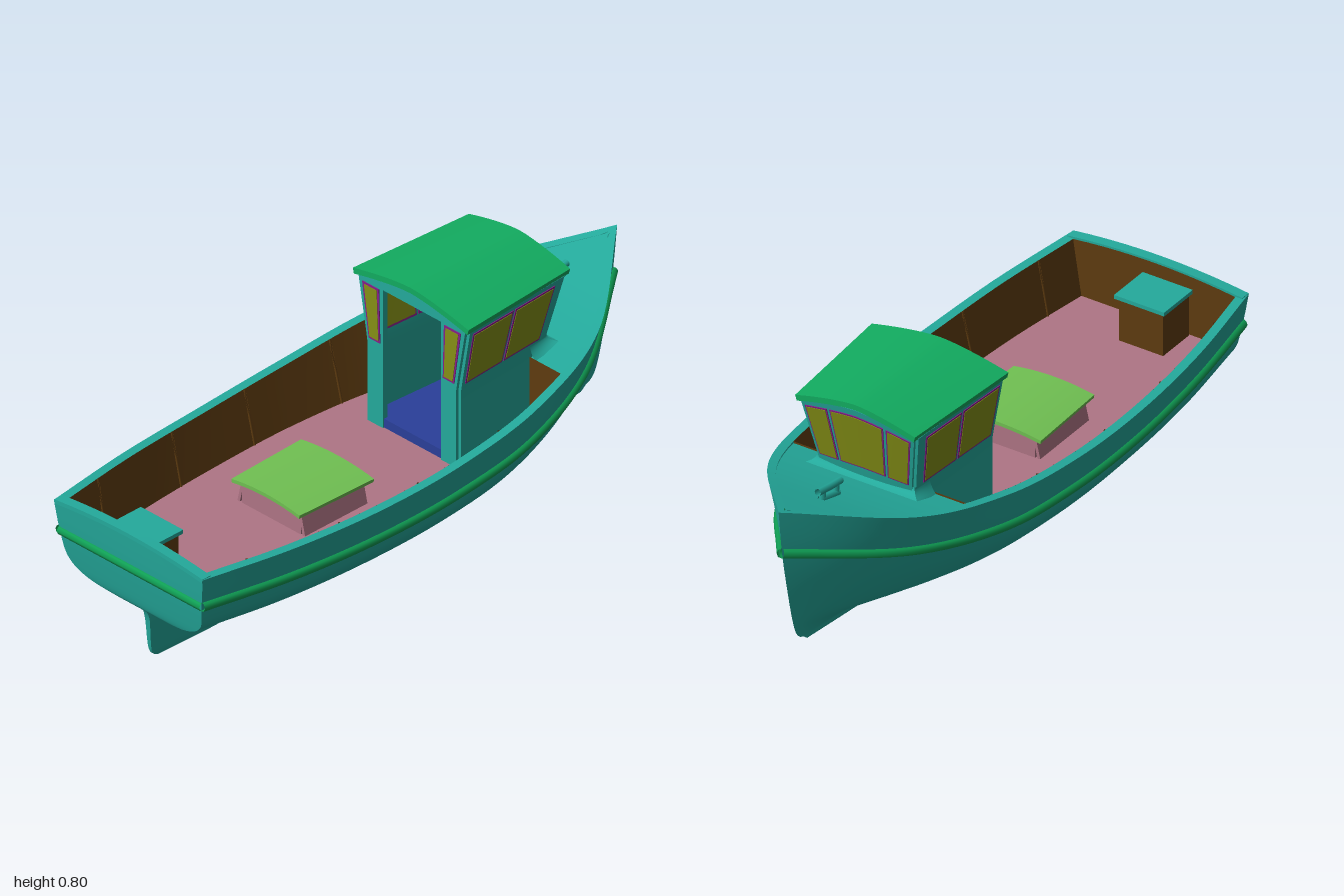
import * as THREE from 'three';
import { toCreasedNormals } from 'three/addons/utils/BufferGeometryUtils.js';

const V = (x, y, z) => new THREE.Vector3(x, y, z);
const { lerp } = THREE.MathUtils;
const mat = (color) => new THREE.MeshStandardMaterial({ color, side: THREE.DoubleSide });
const teal = mat(0x24aa9c), roofGreen = mat(0x12ac60), railGreen = mat(0x0fa055), olive = mat(0x859016);
const purple = mat(0x852088), brown = mat(0x5f3c10), pink = mat(0xaf7585), lime = mat(0x70c052), blue = mat(0x2a3f9a);

// Longitudinal hull lines, keel to sheer: stern x, bow x, half widths and heights at seven stations
const LINES = [
  { x: [-0.88, 0.85], z: [0, 0, 0, 0, 0, 0, 0], y: [0.01, 0.006, 0.032, 0.06, 0.085, 0.11, 0.14] },
  { x: [-0.91, 0.86], z: [0.006, 0.006, 0.007, 0.007, 0.008, 0.008, 0], y: [0.04, 0.035, 0.055, 0.078, 0.1, 0.122, 0.147] },
  { x: [-0.922, 0.87], z: [0.01, 0.012, 0.013, 0.013, 0.013, 0.012, 0], y: [0.15, 0.105, 0.1, 0.108, 0.122, 0.136, 0.155] },
  { x: [-0.937, 0.89], z: [0.013, 0.022, 0.025, 0.025, 0.024, 0.02, 0], y: [0.19, 0.147, 0.13, 0.133, 0.14, 0.147, 0.165] },
  { x: [-0.955, 0.91], z: [0.07, 0.1, 0.11, 0.11, 0.09, 0.05, 0], y: [0.203, 0.168, 0.15, 0.15, 0.156, 0.163, 0.19] },
  { x: [-0.965, 0.93], z: [0.2, 0.24, 0.255, 0.255, 0.22, 0.13, 0], y: [0.22, 0.197, 0.183, 0.185, 0.19, 0.21, 0.25] },
  { x: [-0.975, 0.955], z: [0.272, 0.315, 0.335, 0.335, 0.295, 0.185, 0], y: [0.265, 0.257, 0.255, 0.26, 0.272, 0.3, 0.36] },
  { x: [-0.99, 0.982], z: [0.293, 0.335, 0.357, 0.358, 0.328, 0.222, 0], y: [0.355, 0.336, 0.328, 0.335, 0.36, 0.415, 0.5] },
  { x: [-1, 1], z: [0.308, 0.36, 0.385, 0.388, 0.36, 0.26, 0], y: [0.457, 0.445, 0.44, 0.453, 0.488, 0.55, 0.65] },
];
const spline = (pts) => new THREE.CatmullRomCurve3(pts, false, 'catmullrom', 0.5);
const lines = LINES.map((l) => spline(l.z.map((z, i) => V(lerp(l.x[0], l.x[1], i / 6), l.y[i], z))));
const [chine, rail, sheer] = lines.slice(-3);
const section = (u) => spline(lines.map((l) => l.getPoint(u)));
const DECK = 0.27, WELL = [0.0175, 0.735];   // deck height; extent of the open well along the hull
const crown = (s) => 1 - Math.abs(s) ** 1.5; // soft gable used by the roof and wall tops

// Mirror a surface function across z = 0 and keep it facing outwards
const mirror = (P) => (u, v) => { const p = P(1 - u, v); p.z *= -1; return p; };
const sub = (P, u0, u1, v0, v1) => (u, v) => P(lerp(u0, u1, u), lerp(v0, v1, v));

// Grid over P(u, v); with a thickness it becomes a closed slab
function surface(P, nu, nv, thick = 0) {
  const pos = [], idx = [], layers = thick ? [0.5, -0.5] : [0], e = 1e-3;
  const row = nu + 1, count = row * (nv + 1);
  for (const k of layers) for (let j = 0; j <= nv; j++) for (let i = 0; i <= nu; i++) {
    const u = i / nu, v = j / nv, p = P(u, v);
    if (thick) {
      const n = P(u + e, v).sub(P(u - e, v)).cross(P(u, v + e).sub(P(u, v - e))).normalize();
      p.addScaledVector(n, k * thick);
    }
    pos.push(p.x, p.y, p.z);
  }
  for (let j = 0; j < nv; j++) for (let i = 0; i < nu; i++) {
    const a = j * row + i, b = a + 1, d = a + row, c = d + 1;
    idx.push(a, b, c, a, c, d);
    if (thick) idx.push(a + count, c + count, b + count, a + count, d + count, c + count);
  }
  if (thick) {
    const rim = [];
    for (let i = 0; i < nu; i++) rim.push(i);
    for (let j = 0; j < nv; j++) rim.push(j * row + nu);
    for (let i = nu; i > 0; i--) rim.push(nv * row + i);
    for (let j = nv; j > 0; j--) rim.push(j * row);
    rim.forEach((a, i) => {
      const b = rim[(i + 1) % rim.length];
      idx.push(a + count, b + count, b, a + count, b, a);
    });
  }
  const g = new THREE.BufferGeometry();
  g.setAttribute('position', new THREE.Float32BufferAttribute(pos, 3));
  g.setIndex(idx);
  if (thick) return toCreasedNormals(g, 0.6);
  g.computeVertexNormals();
  return g;
}

export function createModel() {
  const model = new THREE.Group();
  const add = (name, geo, material) => {
    const m = new THREE.Mesh(geo, material);
    m.name = name;
    model.add(m);
    return m;
  };
  const both = (name, P, nu, nv, material, thick) => [P, mirror(P)].forEach((Q, i) =>
    add((i ? 'right' : 'left') + name, surface(Q, nu, nv, thick), material));
  const box = (name, x0, x1, y0, y1, z0, z1, material) =>
    add(name, new THREE.BoxGeometry(x1 - x0, y1 - y0, z1 - z0), material)
      .position.set((x0 + x1) / 2, (y0 + y1) / 2, (z0 + z1) / 2);
  const tube = (name, pts, r, material, n = 8) =>
    add(name, new THREE.TubeGeometry(spline(pts), n, r, 8), material);

  // Hull sides and transom
  const NU = 72;
  const sections = Array.from({ length: NU + 1 }, (_, i) => section(i / NU));
  both('HullSide', (u, v) => sections[Math.round(u * NU)].getPoint(v), NU, 48, teal);
  add('transom', surface((u, v) => {
    const p = sections[0].getPoint(v), s = 2 * u - 1;
    return V(p.x, p.y + 0.02 * v ** 8 * (1 - s * s), p.z * s);
  }, 10, 48), teal);

  // Gunwale cap, foredeck and cambered stern cap
  const innerSheer = (u) => { const p = sheer.getPoint(u); p.z = Math.max(0, p.z - 0.03); return p; };
  both('Gunwale', (u, v) => innerSheer(v).lerp(sheer.getPoint(v), u), 1, NU, teal);
  add('foredeck', surface((u, v) => {
    const p = innerSheer(lerp(WELL[1], 1, v)), s = 2 * u - 1;
    return V(p.x, p.y - 0.006 * (1 - v), p.z * s);
  }, 8, 24), teal);
  add('sternCap', surface((u, v) => {
    const s = 2 * u - 1;
    return V(lerp(-1, -0.967, v), 0.452 + 0.02 * (1 - s * s), 0.306 * s);
  }, 10, 1, 0.014), teal);

  // Rub rail along both sides and across the transom
  for (const side of [1, -1]) {
    const pts = Array.from({ length: 25 }, (_, i) => rail.getPoint(i / 24).multiply(V(1, 1, side)));
    tube(side > 0 ? 'leftRubRail' : 'rightRubRail', pts, 0.016, railGreen, 72);
  }
  tube('sternRubRail', [V(-0.985, 0.355, -0.295), V(-0.985, 0.355, 0), V(-0.985, 0.355, 0.295)], 0.016, railGreen);

  // Open well: deck, bulwark linings, ribs and end walls
  const wellU = (t) => lerp(WELL[0], WELL[1], t);
  const deckEdge = (u) => V(sheer.getPoint(u).x, DECK, chine.getPoint(u).z - 0.022);
  add('deck', surface((u, v) => { const p = deckEdge(wellU(v)); p.z *= 2 * u - 1; return p; }, 2, 40), pink);
  both('BulwarkLining', (u, v) => innerSheer(wellU(u)).lerp(deckEdge(wellU(u)), v), 40, 4, brown);
  for (const x of [-0.82, -0.48, -0.17, 0.17]) for (const side of [1, -1]) {
    const u = (x + 1) / 2, k = V(1, 1, side);
    tube('bulwarkRib', [innerSheer(u).multiply(k), deckEdge(u).multiply(k)], 0.004, brown, 2);
  }
  const endWall = (u0, camber) => (u, v) => {
    const p = deckEdge(u0).lerp(innerSheer(u0), v), s = 2 * u - 1;
    return V(p.x, p.y + camber * v * (1 - s * s), p.z * s);
  };
  add('sternLining', surface(mirror(endWall(WELL[0], 0.018)), 10, 2), brown);
  add('foredeckBulkhead', surface(endWall(WELL[1], 0), 2, 2), brown);

  // Stern locker
  box('lockerBody', -0.96, -0.825, DECK, 0.415, -0.125, 0.03, brown);
  box('lockerLid', -0.965, -0.815, 0.415, 0.428, -0.135, 0.04, teal);

  // Deck hatch: tapered coaming and a slightly cambered lid
  both('HatchCoaming', (u, v) => V(lerp(-0.415, -0.16, u), lerp(DECK, 0.343, v), lerp(0.135, 0.118, v)), 1, 1, pink, 0.01);
  for (const x of [-0.41, -0.165]) box('hatchCoamingEnd', x - 0.005, x + 0.005, DECK, 0.345, -0.122, 0.122, pink);
  add('hatchLid', surface((u, v) => {
    const s = 2 * u - 1;
    return V(lerp(-0.435, -0.14, v), 0.344 + 0.013 * (1 - s * s), s * lerp(0.14, 0.15, v) - 0.004);
  }, 12, 1, 0.012), lime);

  // Wheelhouse walls: upright below, leaning outwards from the window sills up
  const lean = (y) => 0.176 * Math.max(0, y - 0.54);
  const frontX = (y) => 0.527 + 0.2 * Math.max(0, y - 0.5);
  const sideWall = (u, v) => {
    const y = lerp(DECK, 0.757, v);
    return V(lerp(0.17, frontX(y), u), y, lerp(0.183, 0.16, u) + lean(y));
  };
  const rearWall = (u, v) => {
    const y = lerp(DECK, 0.757, v);
    return V(0.17, y, lerp(0.12, 0.183 + lean(y), u));
  };
  const frontWall = (u, v) => {
    const s = 1 - 2 * u, y = lerp(0.5, 0.757 + 0.036 * crown(s), v);
    return V(frontX(y) + 0.006 * (1 - s * s), y, s * (0.16 + lean(y)));
  };
  both('CabinWall', sideWall, 4, 11, teal, 0.02);
  both('DoorJamb', rearWall, 1, 11, teal, 0.02);
  add('cabinFront', surface(frontWall, 16, 8, 0.02), teal);
  add('doorHeader', surface((u, v) => {
    const s = 2 * u - 1;
    return V(0.17, lerp(0.745, 0.757 + 0.036 * crown(s), v), 0.217 * s);
  }, 12, 1, 0.02), teal);
  box('cabinFloor', 0.165, 0.468, DECK, 0.3, -0.175, 0.175, blue);

  // Flared foot where the wheelhouse meets the foredeck
  const flare = (v) => 0.008 + 0.025 * (1 - v) ** 2;
  const footY = (x, v) => lerp(0.5 + 0.3 * (x - 0.47), 0.555, v);
  both('CabinFoot', (u, v) => {
    const x = lerp(0.47, 0.535 + flare(v), u);
    return V(x, footY(x, v), lerp(0.166, 0.162, u) + flare(v));
  }, 4, 6, teal);
  add('cabinFrontFoot', surface((u, v) => {
    const x = 0.535 + flare(v);
    return V(x, footY(x, v), (1 - 2 * u) * (0.162 + flare(v)));
  }, 4, 6), teal);

  // Framed windows, set through the walls
  const pane = (P, u0, u1, v0, v1, du, dv) => {
    add('windowFrame', surface(sub(P, u0, u1, v0, v1), 6, 3, 0.025), purple);
    add('windowGlass', surface(sub(P, u0 + du, u1 - du, v0 + dv, v1 - dv), 6, 3, 0.028), olive);
  };
  for (const [a, b] of [[0.035, 0.468], [0.488, 0.91]]) {
    pane(sideWall, a, b, 0.59, 0.968, 0.016, 0.014);
    pane(mirror(sideWall), 1 - b, 1 - a, 0.59, 0.968, 0.016, 0.014);
  }
  for (const P of [rearWall, mirror(rearWall)]) pane(P, 0.15, 0.85, 0.59, 0.968, 0.08, 0.014);
  for (const [a, b] of [[0.03, 0.24], [0.265, 0.735], [0.76, 0.97]]) pane(frontWall, a, b, 0.25, 0.925, 0.012, 0.018);

  // Softly gabled roof, narrowing forwards
  add('roof', surface((u, v) => {
    const s = 2 * u - 1;
    return V(lerp(0.155, 0.6, v), 0.762 + 0.038 * crown(s), s * lerp(0.237, 0.207, v));
  }, 20, 2, 0.019), roofGreen);

  // Mooring cleat on the foredeck: horned bar, two posts and a foot
  tube('cleatBar', [V(0.675, 0.592, 0), V(0.735, 0.6, 0), V(0.795, 0.611, 0)], 0.011, teal);
  for (const x of [0.7, 0.77]) tube('cleatPost', [V(x, 0.55, 0), V(x, 0.6, 0)], 0.01, teal, 2);
  tube('cleatFoot', [V(0.69, 0.558, 0), V(0.735, 0.568, 0), V(0.78, 0.58, 0)], 0.011, teal, 4);

  return model;
}
